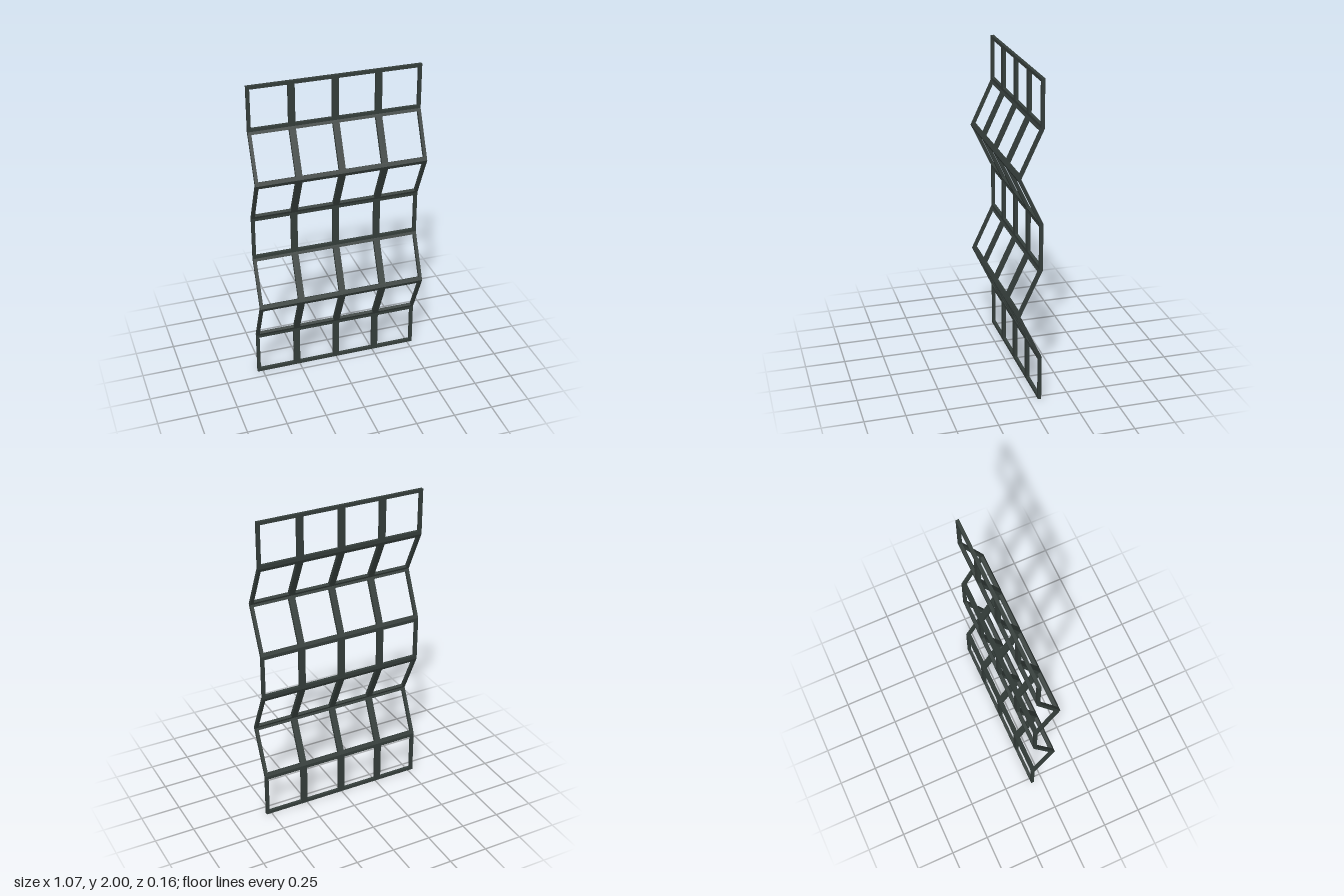
import * as THREE from 'three';

// Folding lattice screen: seven rows of four open cells, zigzagging in depth
const ROWS = 7, COLS = 4;
const ROW_H = 2 / ROWS, WIDTH = 1.068, CELL_W = WIDTH / COLS;
const BAR = 0.02, HALF_T = 0.01, DEPTH = 0.067;

const frameMaterial = new THREE.MeshStandardMaterial({ color: 0x343d3a });
frameMaterial.name = 'dark green grey';

// Fold line heights and depths, bottom to top; x holds z
const folds = [-1, -1, 1, -1, -1, 1, -1, -1].map(
  (s, i) => new THREE.Vector2(s * DEPTH, i * ROW_H));

const direction = i => folds[i + 1].clone().sub(folds[i]).normalize();
const frontNormal = d => new THREE.Vector2(d.y, -d.x);

// Front and back points of a panel at a distance along it from a fold
function section(row, fold, along) {
  const d = direction(row), n = frontNormal(d).multiplyScalar(HALF_T);
  const p = folds[fold].clone().addScaledVector(d, along);
  return { front: p.clone().add(n), back: p.clone().sub(n) };
}

// Mitred front and back points at a fold between two panels
function mitre(fold) {
  const a = frontNormal(direction(fold - 1));
  const m = a.clone().add(frontNormal(direction(fold))).normalize();
  m.multiplyScalar(HALF_T / m.dot(a));
  return { front: folds[fold].clone().add(m), back: folds[fold].clone().sub(m) };
}

// Prism through the given sections, running across x
function bar(name, sections, width, x) {
  const outline = [...sections.map(s => s.front), ...sections.map(s => s.back).reverse()];
  const geometry = new THREE.ExtrudeGeometry(new THREE.Shape(outline),
    { depth: width, bevelEnabled: false });
  geometry.translate(0, 0, -width / 2);
  geometry.rotateY(-Math.PI / 2);
  const mesh = new THREE.Mesh(geometry, frameMaterial);
  mesh.name = name;
  mesh.position.x = x;
  return mesh;
}

export function createModel() {
  const model = new THREE.Group();
  model.name = 'foldingLatticeScreen';

  // Horizontal rails, bent along each fold
  const rails = new THREE.Group();
  rails.name = 'rails';
  for (let f = 0; f <= ROWS; f++) {
    const sections = [];
    if (f > 0) sections.push(section(f - 1, f, -BAR));
    if (f === 0) sections.push(section(0, 0, 0));
    else if (f === ROWS) sections.push(section(ROWS - 1, ROWS, 0));
    else sections.push(mitre(f));
    if (f < ROWS) sections.push(section(f, f, BAR));
    rails.add(bar('rail', sections, WIDTH, 0));
  }

  // Upright posts between rails: narrow at the sides, double inside
  const posts = new THREE.Group();
  posts.name = 'posts';
  for (let r = 0; r < ROWS; r++) {
    const sections = [section(r, r, BAR), section(r, r + 1, -BAR)];
    for (let c = 0; c <= COLS; c++) {
      const side = c === 0 ? 1 : c === COLS ? -1 : 0;
      const x = -WIDTH / 2 + c * CELL_W + side * BAR / 2;
      posts.add(bar(side ? 'sidePost' : 'innerPost', sections, side ? BAR : BAR * 2, x));
    }
  }

  model.add(rails, posts);
  return model;
}
